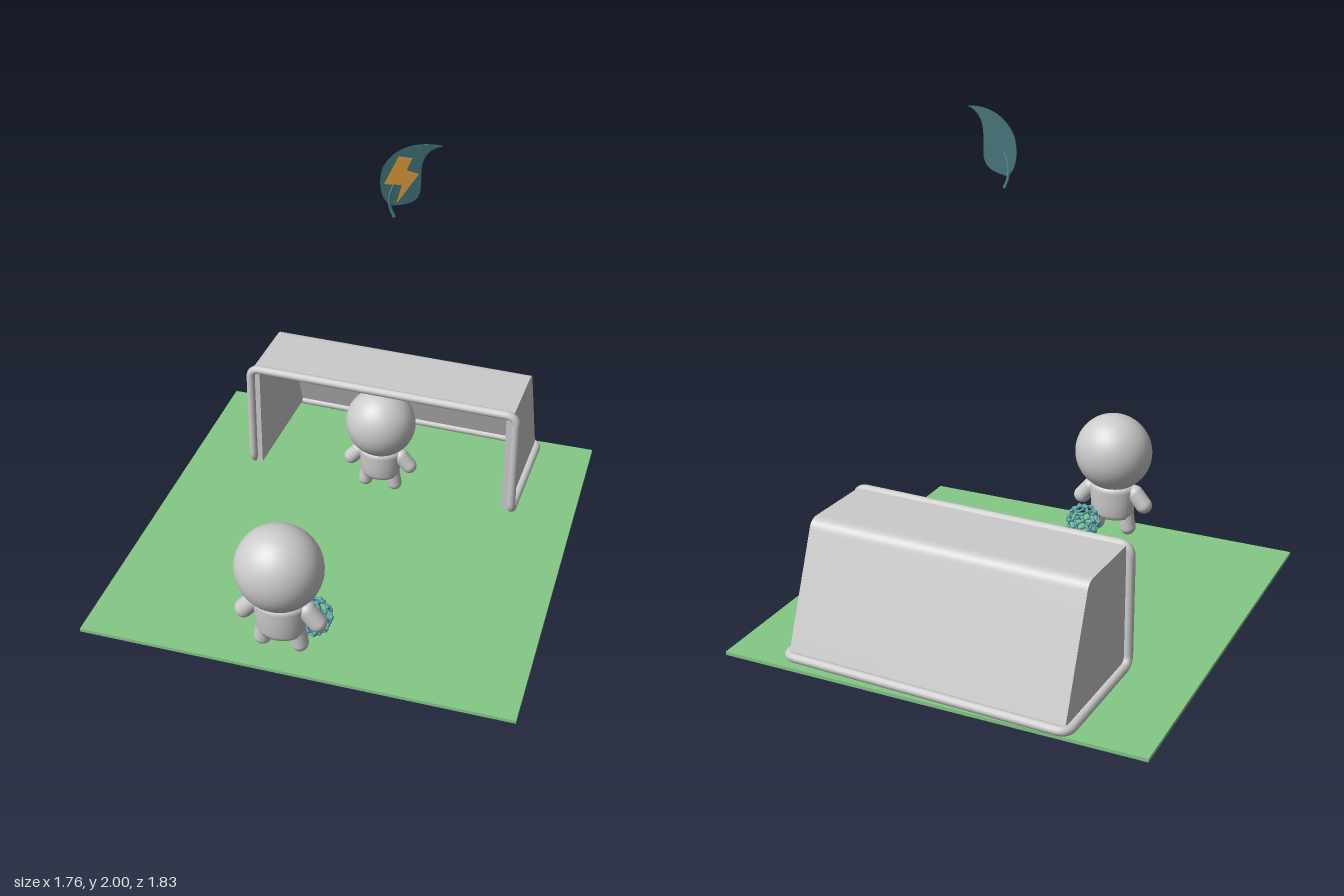
import * as THREE from 'three';
import { mergeGeometries } from 'three/addons/utils/BufferGeometryUtils.js';

const V = (x, y, z = 0) => new THREE.Vector3(x, y, z);
const mat = (color, side = THREE.FrontSide) =>
  new THREE.MeshStandardMaterial({ color, side });
const grey = mat(0xcccccc);
const greySheet = mat(0xcccccc, THREE.DoubleSide);

function add(parent, name, geometry, material = grey) {
  const mesh = new THREE.Mesh(geometry, material);
  mesh.name = name;
  parent.add(mesh);
  return mesh;
}

// Geometry whose long axis (y) is laid between two points
function between(geometry, a, b) {
  const dir = b.clone().sub(a).normalize();
  geometry.applyQuaternion(new THREE.Quaternion().setFromUnitVectors(V(0, 1, 0), dir));
  const mid = a.clone().add(b).multiplyScalar(0.5);
  return geometry.translate(mid.x, mid.y, mid.z);
}
const limb = (a, b, r) => between(new THREE.CapsuleGeometry(r, a.distanceTo(b), 8, 20), a, b);

// Polyline with rounded corners
function roundedPath(points, r, closed) {
  const path = new THREE.CurvePath();
  const n = points.length;
  const toward = (a, b) => a.clone().add(b.clone().sub(a).setLength(r));
  let last = closed ? toward(points[0], points[n - 1]) : points[0];
  const first = last;
  for (let i = closed ? 0 : 1; i < (closed ? n : n - 1); i++) {
    const p = points[i];
    const start = toward(p, points[(i + n - 1) % n]);
    const end = toward(p, points[(i + 1) % n]);
    if (last.distanceTo(start) > 1e-6) path.add(new THREE.LineCurve3(last, start));
    path.add(new THREE.QuadraticBezierCurve3(start, p, end));
    last = end;
  }
  path.add(new THREE.LineCurve3(last, closed ? first : points[n - 1]));
  if (closed) path.curves.pop().getLength() > 1e-6 &&
    path.add(new THREE.LineCurve3(last, first));
  return path;
}

// Big-headed player standing at its own origin
function makePlayer(name) {
  const g = new THREE.Group();
  g.name = name;
  add(g, 'head', new THREE.SphereGeometry(0.175, 40, 28)
    .scale(1, 1, 0.93).translate(0, 0.396, 0));
  const profile = [[0, 0.078], [0.065, 0.08], [0.088, 0.088], [0.1, 0.11], [0.102, 0.16],
    [0.108, 0.22], [0.104, 0.24], [0.08, 0.25], [0, 0.255]];
  add(g, 'torso', new THREE.LatheGeometry(
    profile.map(([x, y]) => new THREE.Vector2(x, y)), 36).scale(1, 1, 0.76));
  for (const s of [-1, 1]) {
    const side = s > 0 ? 'left' : 'right';
    add(g, side + 'Arm', limb(V(s * 0.108, 0.21), V(s * 0.15, 0.16), 0.038));
    add(g, side + 'Leg', limb(V(s * 0.066, 0.1), V(s * 0.076, 0.04), 0.036));
  }
  return g;
}

// Goal: one bent tube for posts, crossbar and ground frame, plus solid net panels
function makeGoal() {
  const g = new THREE.Group();
  g.name = 'goal';
  const w = 0.602, top = 0.53, low = 0.033, depth = 0.54;
  const loop = roundedPath([V(-w, top, 0), V(w, top, 0), V(w, low, 0),
    V(w, low, -depth), V(-w, low, -depth), V(-w, low, 0)], 0.045, true);
  add(g, 'frame', new THREE.TubeGeometry(loop, 360, 0.019, 12, true));

  const fold = roundedPath([V(0, 0.535), V(0.345, 0.535), V(0.535, 0.035)], 0.035, false);
  const sheet = new THREE.PlaneGeometry(1.18, 1, 1, 80);
  const pos = sheet.attributes.position;
  for (let i = 0; i < pos.count; i++) {
    const p = fold.getPointAt(THREE.MathUtils.clamp(pos.getY(i) + 0.5, 0, 1));
    pos.setXYZ(i, pos.getX(i), p.y, -p.x);
  }
  sheet.computeVertexNormals();
  // Strip runs from the crossbar backwards, so its outside is the reverse face
  add(g, 'netTopAndBack', sheet, greySheet);

  const outline = fold.getSpacedPoints(60).map(p => new THREE.Vector2(p.x, p.y));
  outline.push(new THREE.Vector2(0, 0.035));
  for (const s of [-1, 1]) {
    const panel = new THREE.ExtrudeGeometry(new THREE.Shape(outline),
      { depth: 0.03, bevelEnabled: false });
    panel.rotateY(Math.PI / 2).translate(s * 0.575 - 0.015, 0, 0);
    add(g, s > 0 ? 'leftNet' : 'rightNet', panel, grey);
  }
  return g;
}

// Ball: nodes and struts of a truncated icosahedron
function makeBall(radius) {
  const ico = new THREE.IcosahedronGeometry(1, 0).attributes.position;
  const corners = [];
  for (let i = 0; i < ico.count; i++) {
    const p = new THREE.Vector3().fromBufferAttribute(ico, i);
    if (!corners.some(c => c.distanceTo(p) < 0.01)) corners.push(p);
  }
  const nodes = [];
  for (const a of corners) for (const b of corners) {
    const d = a.distanceTo(b);
    if (d > 0.1 && d < 1.2) nodes.push(a.clone().lerp(b, 1 / 3).setLength(radius));
  }
  let edge = Infinity;
  for (let i = 1; i < nodes.length; i++) edge = Math.min(edge, nodes[0].distanceTo(nodes[i]));
  const parts = [];
  nodes.forEach((a, i) => {
    parts.push(new THREE.SphereGeometry(0.0095, 10, 8).translate(a.x, a.y, a.z));
    for (const b of nodes.slice(i + 1)) {
      const d = a.distanceTo(b);
      if (d < edge * 1.1) parts.push(between(new THREE.CylinderGeometry(0.005, 0.005, d, 8), a, b));
    }
  });
  return mergeGeometries(parts);
}

// Leaf with a bolt on its front, leaning forward toward the tip
function makeLeaf() {
  const g = new THREE.Group();
  g.name = 'leaf';
  const lean = geo => {
    const p = geo.attributes.position;
    for (let i = 0; i < p.count; i++)
      p.setZ(i, p.getZ(i) + 0.245 + (p.getY(i) - 1.69) * 0.115);
    geo.computeVertexNormals();
    return geo;
  };
  const blade = new THREE.Shape();
  blade.moveTo(0.395, 2.0);
  blade.bezierCurveTo(0.29, 2.01, 0.215, 1.96, 0.18, 1.89);
  blade.bezierCurveTo(0.16, 1.83, 0.165, 1.76, 0.205, 1.735);
  blade.bezierCurveTo(0.245, 1.745, 0.3, 1.75, 0.313, 1.805);
  blade.bezierCurveTo(0.325, 1.86, 0.295, 1.97, 0.395, 2.0);
  const slab = (shape, depth, z) => lean(new THREE.ExtrudeGeometry(shape,
    { depth, bevelEnabled: false, curveSegments: 16 }).translate(0, 0, z));
  add(g, 'blade', slab(blade, 0.006, -0.003), mat(0x3a6a70));

  const bolt = new THREE.Shape([[0.238, 1.94], [0.288, 1.94], [0.266, 1.888], [0.31, 1.88],
    [0.226, 1.745], [0.248, 1.828], [0.183, 1.822]].map(([x, y]) => new THREE.Vector2(x, y)));
  add(g, 'bolt', slab(bolt, 0.003, 0.003), mat(0xd6963a));

  const stem = new THREE.CatmullRomCurve3([V(0.216, 1.69), V(0.202, 1.73), V(0.204, 1.78),
    V(0.222, 1.83)]);
  add(g, 'stem', lean(new THREE.TubeGeometry(stem, 20, 0.006, 8)), mat(0x4a8a90));
  add(g, 'stemEnd', lean(new THREE.SphereGeometry(0.007, 10, 8).translate(0.216, 1.69, 0)),
    mat(0x3a6a70));
  return g;
}

export function createModel() {
  const model = new THREE.Group();
  model.name = 'footballScene';

  add(model, 'pitch', new THREE.BoxGeometry(1.76, 0.014, 1.79)
    .translate(0, 0.007, -0.011), mat(0x84c886));

  const striker = makePlayer('striker');
  striker.position.set(-0.08, 0.014, 0.75);
  const keeper = makePlayer('keeper');
  keeper.position.set(0.008, 0.012, -0.362);
  keeper.scale.setScalar(0.88);

  const goal = makeGoal();
  goal.position.set(0.01, 0, -0.342);
  goal.rotation.y = -0.036;
  model.add(striker, keeper, goal);

  add(model, 'ball', makeBall(0.072), mat(0x5aa5a8)).position.set(0.017, 0.096, 0.638);
  model.add(makeLeaf());
  return model;
}
